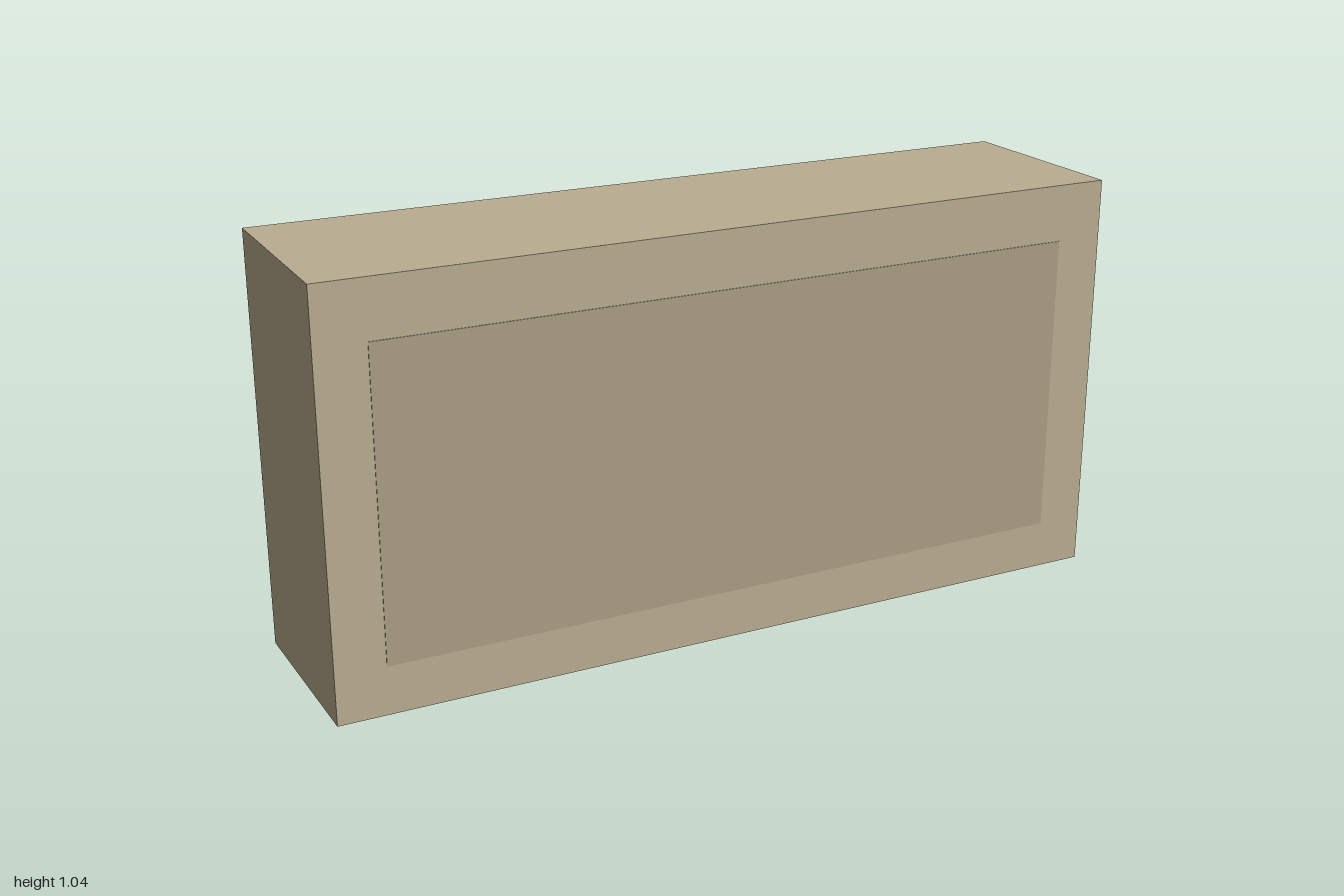
import * as THREE from 'three';

const material = (color) => new THREE.MeshStandardMaterial({ color });

export function createModel() {
  const model = new THREE.Group();
  const beige = material(0xbaae92);
  const panelTone = material(0xaa9e85);
  const black = material(0x1c1c1c);
  const slotBlack = material(0x111111);
  const red = material(0xaa1a14);

  const add = (name, geometry, mat, x, y, z) => {
    const mesh = new THREE.Mesh(geometry, mat);
    mesh.name = name;
    mesh.position.set(x, y, z);
    model.add(mesh);
    return mesh;
  };

  // Cabinet: side profile with a slightly sloping underside, extruded across the width
  const profile = new THREE.Shape([
    new THREE.Vector2(-0.255, 0.03),
    new THREE.Vector2(0.245, 0.01),
    new THREE.Vector2(0.245, 1.04),
    new THREE.Vector2(-0.255, 1.04),
  ]);
  const cabinet = new THREE.ExtrudeGeometry(profile, { depth: 2, bevelEnabled: false });
  cabinet.translate(0, 0, -1).rotateY(Math.PI / 2);
  add('cabinet', cabinet, beige, 0, 0, 0);

  // Thin front panel
  add('frontPanel', new THREE.BoxGeometry(1.76, 0.75, 0.004), panelTone, 0, 0.525, 0.255);

  // Four round feet on the back
  const footGeometry = new THREE.CylinderGeometry(0.032, 0.032, 0.012, 24).rotateX(Math.PI / 2);
  for (const x of [-0.86, 0.86]) {
    for (const y of [0.11, 0.94]) add('backFoot', footGeometry, black, x, y, -0.25);
  }

  // Row of vents along the underside
  const ventGeometry = new THREE.BoxGeometry(0.05, 0.005, 0.11);
  for (let i = 0; i < 25; i++) {
    add('vent', ventGeometry, black, -0.84 + i * 0.07, 0.0105, -0.115);
  }

  // Connector slot and red button underneath
  add('connectorSlot', new THREE.BoxGeometry(0.39, 0.004, 0.062), slotBlack, -0.695, 0.006, 0.024);
  add('button', new THREE.CylinderGeometry(0.018, 0.018, 0.008, 20), red, 0.81, 0.004, 0.02);

  return model;
}
